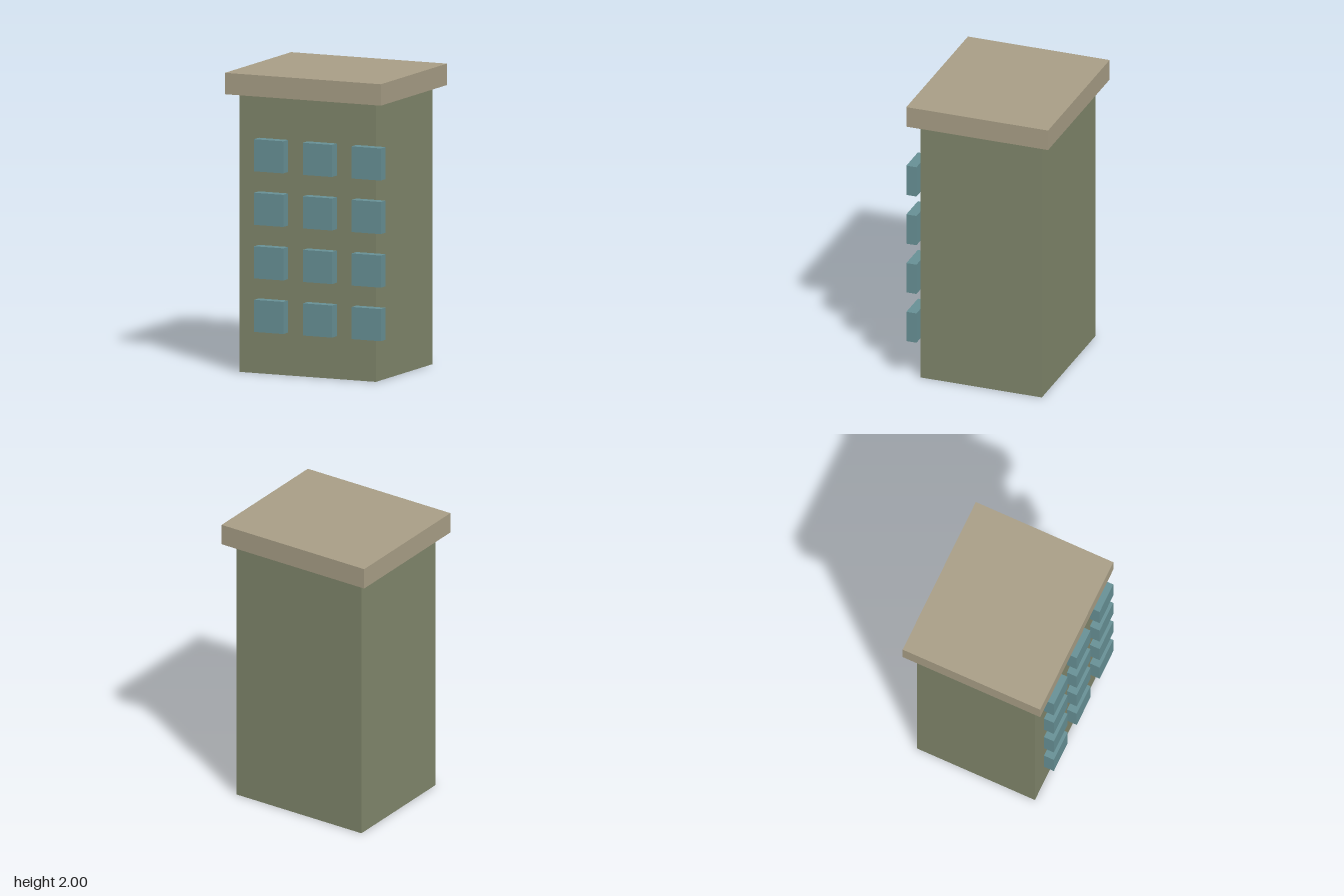
import * as THREE from 'three';

const U = 1 / 14; // building module

function box(name, size, position, material) {
  const mesh = new THREE.Mesh(new THREE.BoxGeometry(...size), material);
  mesh.name = name;
  mesh.position.set(...position);
  return mesh;
}

export function createModel() {
  const model = new THREE.Group();
  model.name = 'towerBlock';

  const wall = new THREE.MeshStandardMaterial({ color: 0x80866b });
  const slab = new THREE.MeshStandardMaterial({ color: 0xa89e86 });
  const glass = new THREE.MeshStandardMaterial({ color: 0x679095 });

  // Main block and overhanging flat roof
  model.add(box('walls', [14 * U, 26 * U, 12 * U], [0, 13 * U, 0], wall));
  model.add(box('roof', [16 * U, 2 * U, 14 * U], [0, 27 * U, 0], slab));

  // Projecting windows: four floors of three, the last column overhangs the corner
  const windows = new THREE.Group();
  windows.name = 'windows';
  for (let floor = 0; floor < 4; floor++) {
    for (let column = 0; column < 3; column++) {
      const x = (-3.5 + 5 * column) * U;
      const y = (5.5 + 5 * floor) * U;
      windows.add(box('window', [3 * U, 3 * U, U], [x, y, 6.5 * U], glass));
    }
  }
  model.add(windows);

  return model;
}
